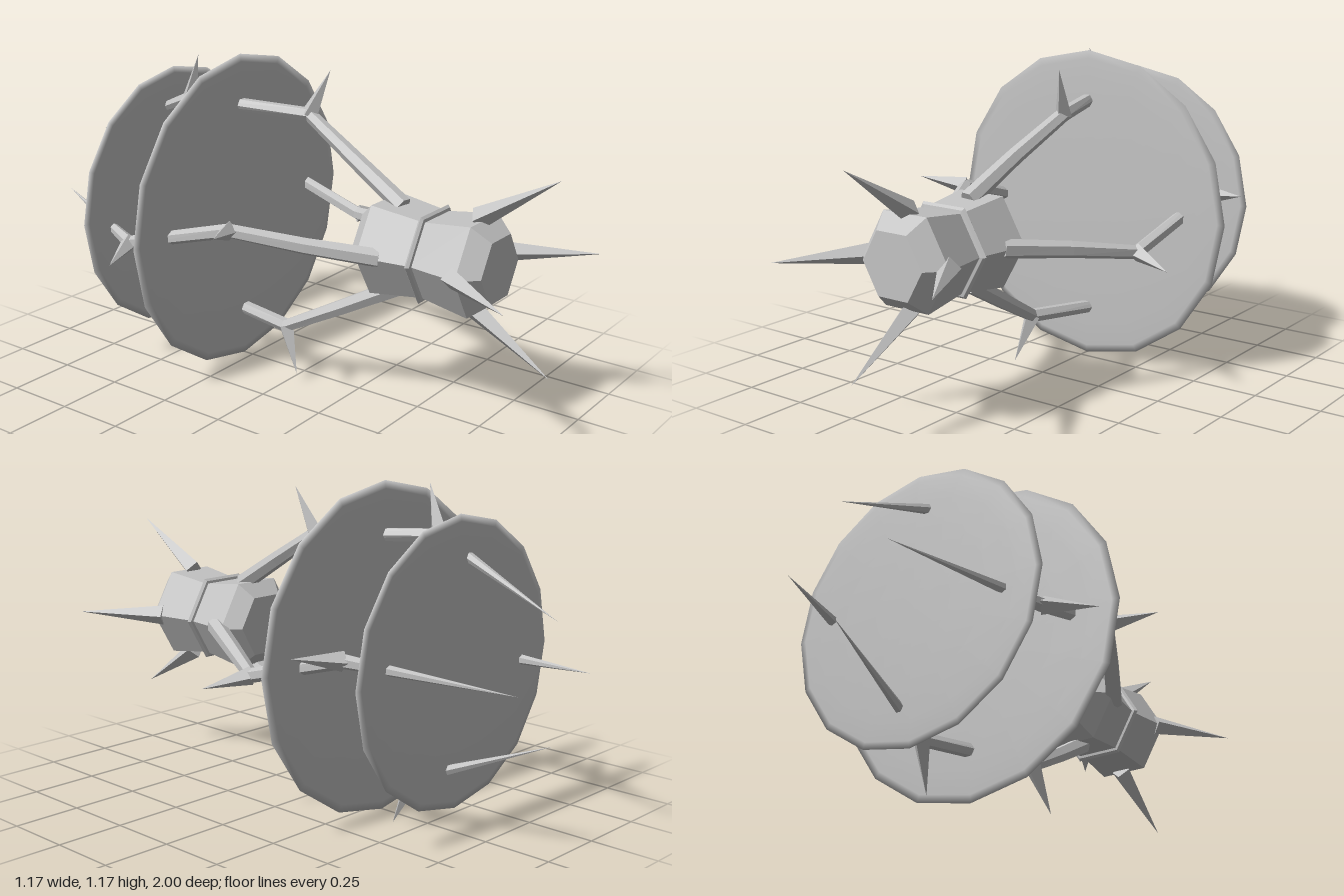
import * as THREE from 'three';

const CENTRE_Y = 0.59;
const V = (x, y, z) => new THREE.Vector3(x, y, z);

// Unshared vertices give every face its own flat normal.
function faceted(geometry) {
  const g = geometry.index ? geometry.toNonIndexed() : geometry;
  g.computeVertexNormals();
  return g;
}

// Faceted rod through points, one radius per point (0 makes a sharp tip).
function rod(points, radii, sides) {
  const rings = points.map((p, i) => {
    const before = points[Math.max(i - 1, 0)];
    const after = points[Math.min(i + 1, points.length - 1)];
    const t = after.clone().sub(before).normalize();
    const v = t.clone().cross(V(1, 0, 0)).normalize();
    const u = v.clone().cross(t);
    return Array.from({ length: sides }, (_, j) => {
      const a = (j / sides) * Math.PI * 2;
      return p.clone()
        .addScaledVector(u, radii[i] * Math.cos(a))
        .addScaledVector(v, radii[i] * Math.sin(a));
    });
  });
  const corners = [];
  for (let j = 0; j < sides; j++) {
    const k = (j + 1) % sides;
    corners.push(points[0], rings[0][k], rings[0][j]);
    for (let i = 0; i + 1 < rings.length; i++) {
      const [a, b] = [rings[i], rings[i + 1]];
      corners.push(a[j], a[k], b[j]);
      if (radii[i + 1] > 0) corners.push(a[k], b[k], b[j]);
    }
  }
  return faceted(new THREE.BufferGeometry().setFromPoints(corners));
}

// Six-sided solid along z from [radius, z] pairs, corners on the x axis.
function hexSolid(profile) {
  const points = profile.map(([r, z]) => new THREE.Vector2(r, z));
  const g = new THREE.LatheGeometry(points, 6, Math.PI / 2);
  g.rotateX(Math.PI / 2);
  return faceted(g);
}

// Thin lens with sixteen sides, facing along z.
function lens(radius, thickness) {
  const g = new THREE.SphereGeometry(1, 16, 10);
  g.rotateX(Math.PI / 2);
  g.scale(radius, radius, thickness / 2);
  return g;
}

export function createModel() {
  const group = new THREE.Group();
  const hull = new THREE.MeshStandardMaterial({ color: 0xc4c4c4 });
  hull.name = 'hullGrey';

  const add = (parent, name, geometry) => {
    const mesh = new THREE.Mesh(geometry, hull);
    mesh.name = name;
    parent.add(mesh);
    return mesh;
  };

  const craft = new THREE.Group();
  craft.name = 'craft';
  craft.position.y = CENTRE_Y;
  group.add(craft);

  // Waisted body with bevelled ends
  add(craft, 'body', hexSolid([
    [0, 0.295], [0.125, 0.295], [0.183, 0.35], [0.155, 0.55],
    [0.183, 0.735], [0.125, 0.8], [0, 0.8],
  ]));
  add(craft, 'waistRing', hexSolid([
    [0.14, 0.532], [0.168, 0.536], [0.177, 0.545], [0.168, 0.554], [0.14, 0.558],
  ]));

  // Two large thin discs
  add(craft, 'frontDisc', lens(0.585, 0.024)).position.z = -0.29;
  add(craft, 'rearDisc', lens(0.5, 0.024)).position.z = -0.615;

  // Four quarter turns of a bent arm, its thorns and a front spike
  const jointA = V(0.07, 0.385, -0.03);
  const jointB = V(-0.06, 0.41, -0.48);
  for (let i = 0; i < 4; i++) {
    const quarter = new THREE.Group();
    quarter.name = `quarter${i + 1}`;
    quarter.rotation.z = (i * Math.PI) / 2;
    craft.add(quarter);

    add(quarter, 'arm', rod(
      [V(0, 0.145, 0.42), V(0.03, 0.265, 0.2), jointA, jointB, V(0, 0.2, -1)],
      [0.034, 0.03, 0.026, 0.025, 0], 6));
    add(quarter, 'frontThorn', rod(
      [jointA, V(0.1, 0.55, 0.04)], [0.034, 0], 4));
    add(quarter, 'rearThorn', rod(
      [jointB, V(-0.085, 0.58, -0.415)], [0.034, 0], 4));
    add(quarter, 'frontSpike', rod(
      [V(0, 0.16, 0.71), V(0, 0.34, 1)], [0.038, 0], 4));
  }
  return group;
}
